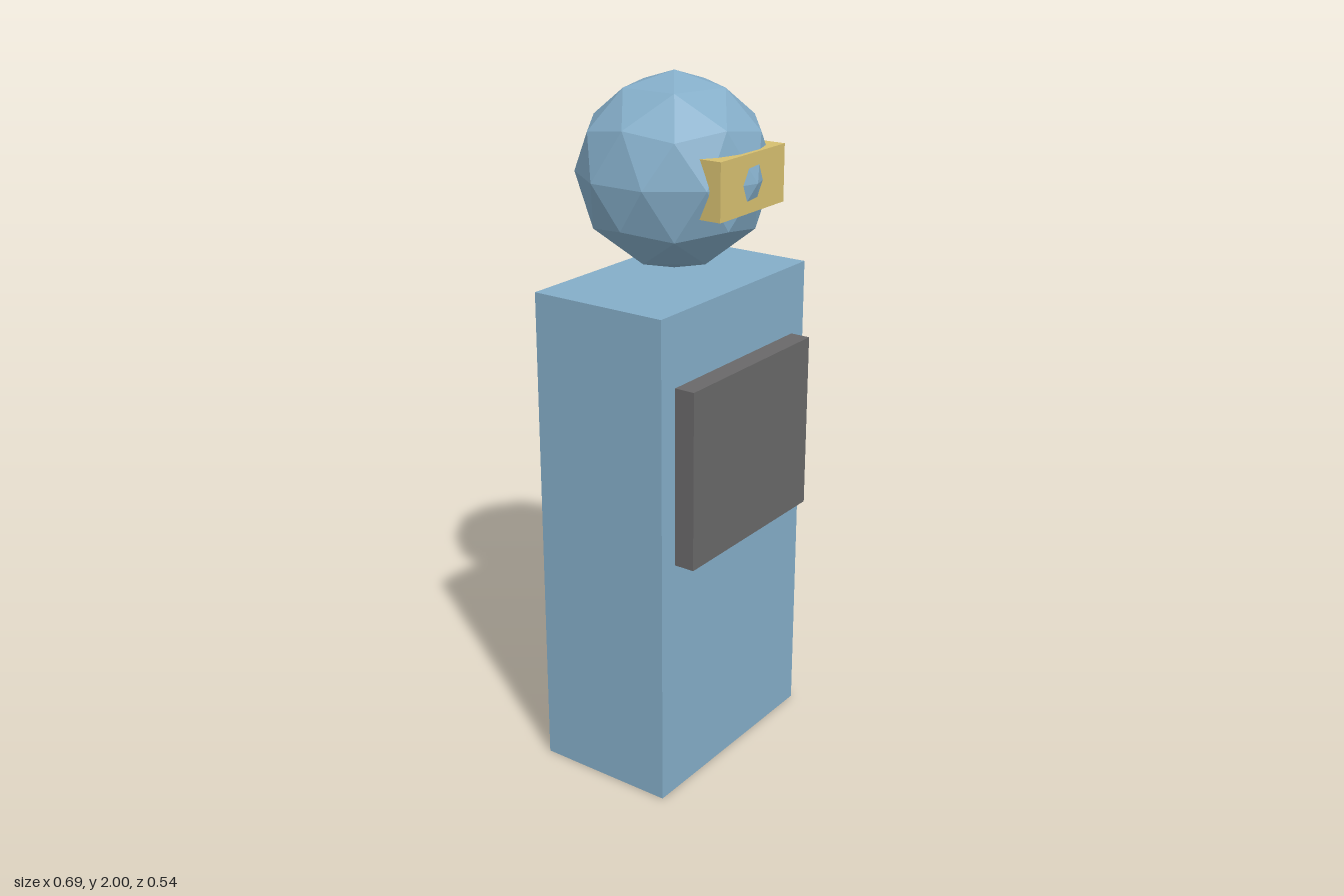
import * as THREE from 'three';

const material = (name, color, flatShading = false) => {
  const m = new THREE.MeshStandardMaterial({ color, flatShading });
  m.name = name;
  return m;
};

export function createModel() {
  const group = new THREE.Group();
  group.name = 'figure';
  const blue = material('steel blue', 0x84adc8, true);
  const yellow = material('sand yellow', 0xd6bf70);
  const grey = material('dark grey', 0x696869);

  const add = (name, geometry, mat, x, y, z) => {
    const mesh = new THREE.Mesh(geometry, mat);
    mesh.name = name;
    mesh.position.set(x, y, z);
    group.add(mesh);
  };

  // Body block and chest panel
  add('body', new THREE.BoxGeometry(0.692, 1.435, 0.42), blue, 0, 0.7175, 0);
  add('chestPanel', new THREE.BoxGeometry(0.57, 0.514, 0.062), grey, 0, 0.976, 0.239);

  // Faceted head, turned so that a corner points straight up
  const head = new THREE.IcosahedronGeometry(0.27, 1);
  head.rotateZ(-Math.atan(2 / (1 + Math.sqrt(5))));
  add('head', head, blue, 0, 1.73, 0);

  // Visor sunk into the head, whose front corner pokes through as a nose
  add('visor', new THREE.BoxGeometry(0.302, 0.158, 0.066), yellow, 0, 1.731, 0.222);

  return group;
}
